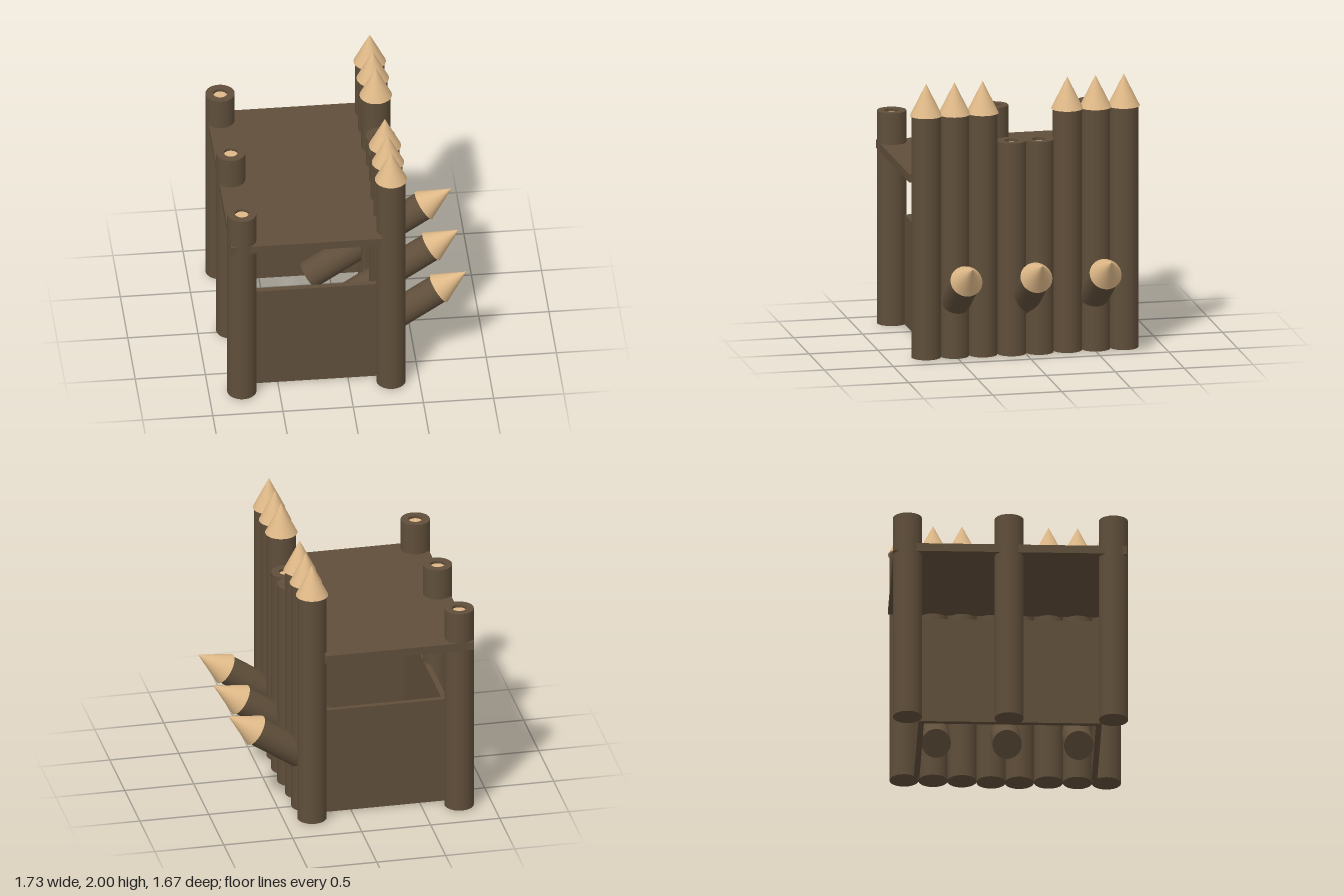
import * as THREE from 'three';

export function createModel() {
  const model = new THREE.Group();
  const bark = new THREE.MeshStandardMaterial({ color: 0x5f4e3a });
  bark.name = 'darkBark';
  const cut = new THREE.MeshStandardMaterial({ color: 0xdeb887 });
  cut.name = 'freshCutWood';

  const R = 0.104, BASE = 0.01, SIDES = 32;

  function add(parent, name, geometry, material, x = 0, y = 0, z = 0) {
    const mesh = new THREE.Mesh(geometry, material);
    mesh.name = name;
    mesh.position.set(x, y, z);
    parent.add(mesh);
    return mesh;
  }

  // Log with a pointed tip, standing on its own origin
  function sharpenedLog(name, length, tip) {
    const log = new THREE.Group();
    log.name = name;
    add(log, 'logShaft', new THREE.CylinderGeometry(R, R, length, SIDES), bark, 0, length / 2);
    add(log, 'logTip', new THREE.ConeGeometry(0.115, tip, SIDES), cut, 0, length + tip / 2);
    model.add(log);
    return log;
  }

  // Blunt post: extruded ring with a shallow bored hole showing pale wood
  function bluntPost(name, x, z) {
    const post = new THREE.Group();
    post.name = name;
    const top = 1.55, r = 0.05, depth = 0.02;
    const shaft = new THREE.CylinderGeometry(R, R, top, SIDES, 1, true);
    add(post, 'postShaft', shaft, bark, 0, top / 2);
    add(post, 'postFoot', new THREE.CircleGeometry(R, SIDES).rotateX(Math.PI / 2), bark);
    add(post, 'postRim', new THREE.RingGeometry(r, R, SIDES).rotateX(-Math.PI / 2), bark, 0, top);
    const bore = new THREE.LatheGeometry([new THREE.Vector2(r, top), new THREE.Vector2(r, top - depth)], SIDES);
    add(post, 'postBore', bore, bark);
    add(post, 'postCore', new THREE.CircleGeometry(r, SIDES).rotateX(-Math.PI / 2), cut, 0, top - depth);
    post.position.set(x, BASE, z);
    model.add(post);
  }

  // Rear posts and the two short gate posts
  for (const z of [-0.73, -0.01, 0.73]) bluntPost('rearPost', -0.765, z);
  for (const z of [-0.1, 0.1]) bluntPost('gatePost', 0.311, z);

  // Tall palisade logs either side of the gate
  for (const side of [-1, 1]) {
    for (const z of [0.307, 0.512, 0.717]) {
      sharpenedLog('palisadeLog', 1.76, 0.23).position.set(0.299, BASE, side * z);
    }
  }

  // Slanted defensive stakes
  const start = new THREE.Vector2(-0.158, 0.09);
  const neck = new THREE.Vector2(0.662, 0.635);
  const slope = neck.clone().sub(start);
  for (const z of [-0.505, -0.003, 0.505]) {
    const stake = sharpenedLog('slantedStake', slope.length(), 0.237);
    stake.position.set(start.x, start.y, z);
    stake.rotation.z = slope.angle() - Math.PI / 2;
  }

  // Roof platform
  add(model, 'roof', new THREE.BoxGeometry(1.075, 0.06, 1.656), bark, -0.313, 1.3, -0.004);

  // Low walls, open above and below
  const T = 0.04, H = 0.8, y = BASE + H / 2;
  add(model, 'rearWall', new THREE.BoxGeometry(T, H, 1.3), bark, -0.68, y, 0);
  for (const side of [-1, 1]) {
    add(model, 'sideWall', new THREE.BoxGeometry(0.91, H, T), bark, -0.205, y, side * 0.63);
  }

  return model;
}
